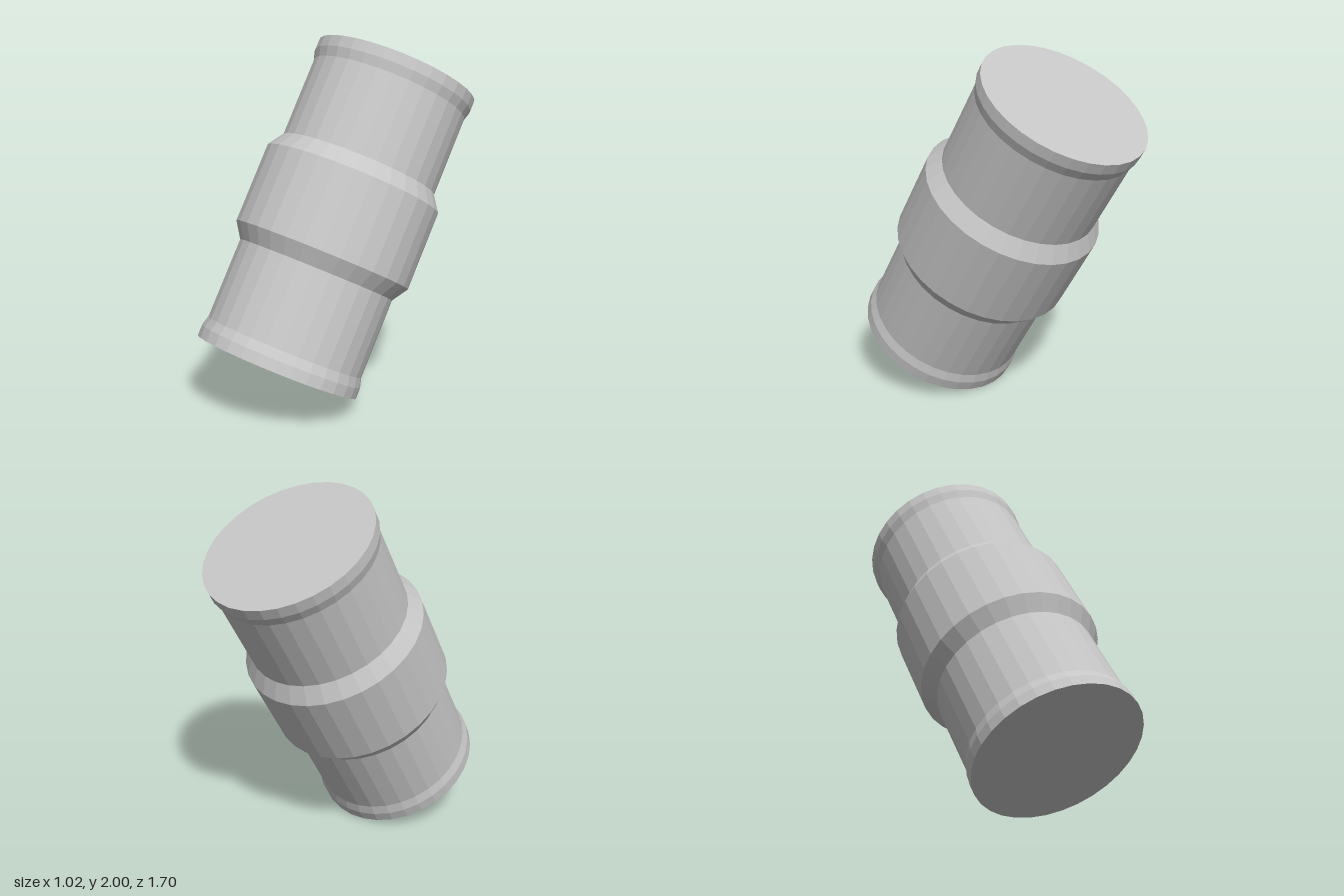
import * as THREE from 'three';

const SIDES = 32;
const TILT = -Math.PI / 6;

export function createModel() {
  const model = new THREE.Group();
  model.name = 'tiltedBarrel';
  const grey = new THREE.MeshStandardMaterial({ color: 0xc6c6c6 });
  grey.name = 'light grey';
  grey.flatShading = true;

  const barrel = new THREE.Group();
  barrel.name = 'barrel';
  barrel.position.y = 1;
  barrel.rotation.x = TILT;
  model.add(barrel);

  const add = (name, geometry) => {
    const mesh = new THREE.Mesh(geometry, grey);
    mesh.name = name;
    barrel.add(mesh);
    return mesh;
  };

  // Open band of wall between two heights along the barrel axis
  const band = (name, y0, r0, y1, r1) => {
    add(name, new THREE.CylinderGeometry(r1, r0, y1 - y0, SIDES, 1, true)).position.y = (y0 + y1) / 2;
  };

  // Thick middle section
  band('middleSleeve', -0.225, 0.512, 0.225, 0.512);

  // Shoulder, neck, flared rim and flat cap, mirrored at both ends
  const profile = [[0.225, 0.512], [0.314, 0.453], [0.77, 0.453], [0.823, 0.468], [0.885, 0.468]];
  const parts = ['Shoulder', 'Neck', 'Flare', 'Rim'];
  for (const [end, s] of [['upper', 1], ['lower', -1]]) {
    parts.forEach((part, i) => {
      const [a, b] = s > 0 ? [profile[i], profile[i + 1]] : [profile[i + 1], profile[i]];
      band(end + part, s * a[0], a[1], s * b[0], b[1]);
    });
    const cap = add(end + 'Cap', new THREE.CircleGeometry(0.468, SIDES));
    cap.rotation.x = -s * Math.PI / 2;
    cap.position.y = s * 0.885;
  }
  return model;
}
